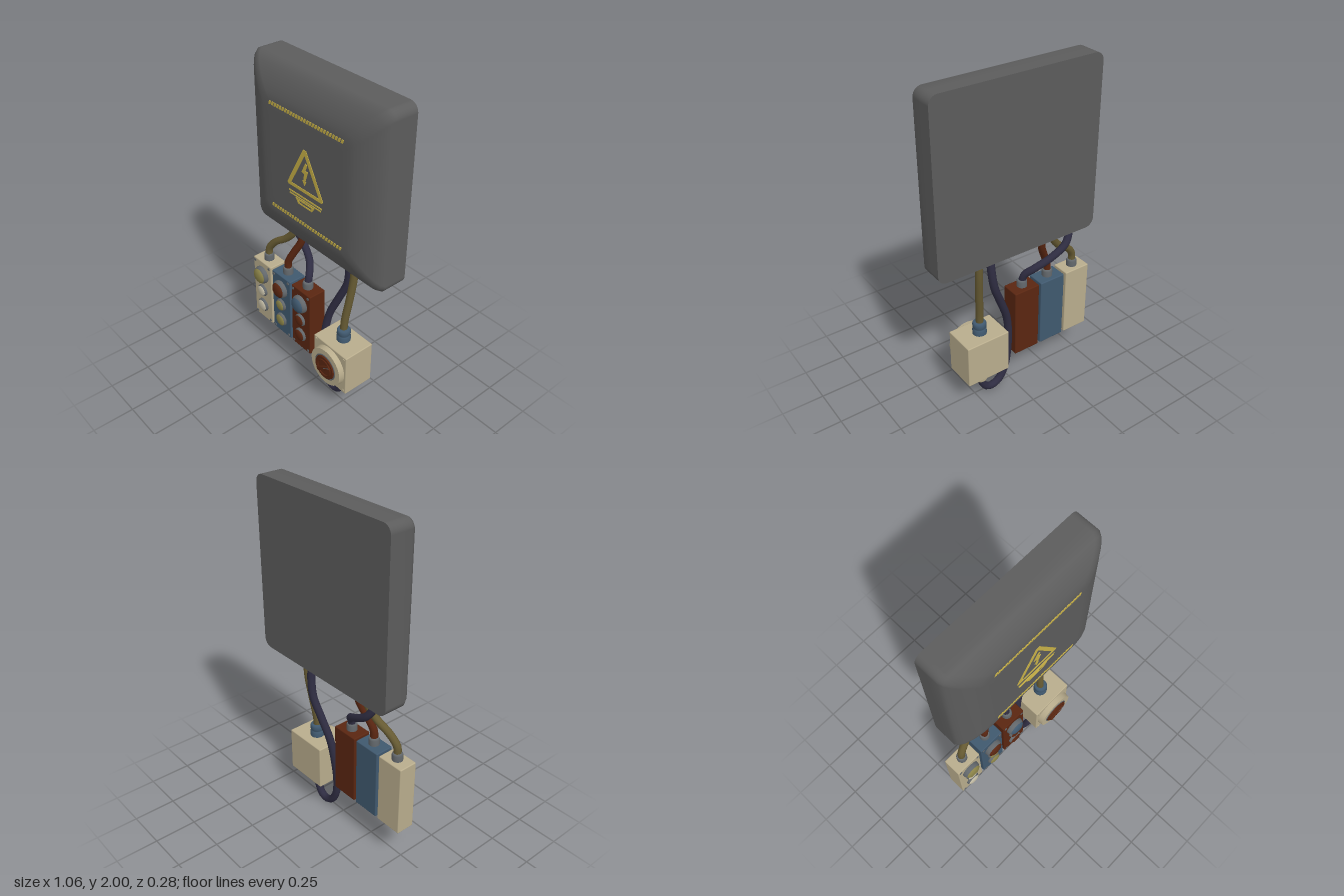
import * as THREE from 'three';
import { RoundedBoxGeometry } from 'three/addons/geometries/RoundedBoxGeometry.js';

const COLORS = {
  charcoal: 0x5c5c5c, cream: 0xb9ad8d, blue: 0x40596f, rust: 0x5a2611, navy: 0x2f2d42,
  oliveCable: 0x675b33, olive: 0x8b8348, yellow: 0xc8b147, steel: 0x62676b, ivory: 0xc6bfa8,
};

export function createModel() {
  const root = new THREE.Group();
  root.name = 'electricalControlUnit';
  const mats = {};
  for (const [name, color] of Object.entries(COLORS)) {
    mats[name] = new THREE.MeshStandardMaterial({ color });
    mats[name].name = name;
  }

  const add = (parent, name, geometry, mat, x = 0, y = 0, z = 0) => {
    const mesh = new THREE.Mesh(geometry, mats[mat]);
    mesh.name = name;
    mesh.position.set(x, y, z);
    parent.add(mesh);
    return mesh;
  };
  const group = (name, x, y, z) => {
    const g = new THREE.Group();
    g.name = name;
    g.position.set(x, y, z);
    root.add(g);
    return g;
  };
  const box = (w, h, d, r = 0.006) => new RoundedBoxGeometry(w, h, d, 2, r);
  const lathe = (pts, seg = 24) =>
    new THREE.LatheGeometry(pts.map(([r, y]) => new THREE.Vector2(r, y)), seg);
  const disc = (rTop, rBottom, h, seg = 32) =>
    new THREE.CylinderGeometry(rTop, rBottom, h, seg).rotateX(Math.PI / 2);
  const plate = (pts, hole) => {
    const shape = new THREE.Shape(pts.map(p => new THREE.Vector2(...p)));
    if (hole) shape.holes.push(new THREE.Path(hole.map(p => new THREE.Vector2(...p))));
    return new THREE.ExtrudeGeometry(shape, { depth: 0.003, bevelEnabled: false });
  };

  // Main cabinet: rounded-square loops shrinking towards a domed front
  function cabinetGeometry() {
    const half = 0.505, radius = 0.05, steps = 6;
    const loops = [[0, -0.14], [0, -0.14], [0, -0.07], [0, -0.005], [0.012, 0.018], [0.035, 0.04],
      [0.07, 0.062], [0.11, 0.08], [0.15, 0.093], [0.185, 0.098], [0.24, 0.099]];
    const pos = [], idx = [], n = 4 * (steps + 1);
    for (const [inset, z] of loops) {
      const c = half - inset - radius;
      for (let q = 0; q < 4; q++) for (let s = 0; s <= steps; s++) {
        const a = (q + s / steps) * Math.PI / 2;
        const sx = q === 0 || q === 3 ? 1 : -1, sy = q < 2 ? 1 : -1;
        pos.push(sx * c + radius * Math.cos(a), sy * c + radius * Math.sin(a), z);
      }
    }
    for (let l = 1; l < loops.length - 1; l++) for (let i = 0; i < n; i++) {
      const a = l * n + i, b = l * n + (i + 1) % n;
      idx.push(a, b, b + n, a, b + n, a + n);
    }
    // Back cap uses its own loop so that its edge stays sharp
    const back = pos.length / 3, last = (loops.length - 1) * n;
    pos.push(0, 0, -0.14, 0, 0, 0.099);
    for (let i = 0; i < n; i++) {
      const j = (i + 1) % n;
      idx.push(back, j, i, back + 1, last + i, last + j);
    }
    const g = new THREE.BufferGeometry();
    g.setAttribute('position', new THREE.Float32BufferAttribute(pos, 3));
    g.setIndex(idx);
    g.computeVertexNormals();
    return g;
  }
  add(root, 'cabinet', cabinetGeometry(), 'charcoal', 0.025, 1.495, 0);

  // Painted warning marks on the cabinet front
  const marks = group('warningMarks', 0.03, 0, 0.0985);
  add(marks, 'warningTriangle', plate(
    [[-0.14, 1.405], [-0.13, 1.395], [0.13, 1.395], [0.14, 1.405], [0.012, 1.64], [-0.012, 1.64]],
    [[-0.11, 1.413], [0.11, 1.413], [0, 1.612]]), 'yellow');
  add(marks, 'bolt', plate([[0.005, 1.57], [-0.025, 1.51], [-0.004, 1.505], [-0.012, 1.465], [-0.018, 1.465],
    [-0.003, 1.435], [0.01, 1.462], [0.004, 1.465], [0.024, 1.525], [0.005, 1.528], [0.018, 1.562]]), 'yellow');
  add(marks, 'upperBar', box(0.26, 0.01, 0.003, 0.001), 'yellow', 0, 1.361, 0.0015);
  add(marks, 'lowerBar', box(0.25, 0.008, 0.003, 0.001), 'yellow', 0, 1.345, 0.0015);
  add(marks, 'tab', plate([[-0.055, 1.308], [0.055, 1.308], [0.075, 1.337], [-0.075, 1.337]],
    [[-0.045, 1.317], [0.045, 1.317], [0.055, 1.328], [-0.055, 1.328]]), 'yellow');
  const dash = plate([[-0.011, -0.01], [0.003, -0.01], [0.011, 0.01], [-0.003, 0.01]]);
  for (const y of [1.2, 1.8])
    for (let i = 0; i < 27; i++) add(marks, 'stripeDash', dash, 'yellow', -0.27 + i * 0.0208, y, 0);

  // Domed push button: steel collar with a coloured cap
  function button(parent, mat, y, r, depth) {
    const g = new THREE.Group();
    g.name = 'pushButton';
    g.position.set(0, y, 0.056);
    g.rotation.x = Math.PI / 2;
    parent.add(g);
    add(g, 'collar', lathe([[r, 0], [r, depth * 0.2], [r * 0.96, depth * 0.42], [r * 0.84, depth * 0.62], [r * 0.7, depth * 0.66]]), 'steel');
    add(g, 'cap', lathe([[r * 0.85, depth * 0.55], [r * 0.83, depth * 0.7], [r * 0.6, depth * 0.9],
      [r * 0.3, depth * 0.98], [0, depth]]), mat);
  }

  // Three hanging button boxes
  const screw = disc(0.009, 0.009, 0.006, 10);
  const pendants = [
    [-0.45, 'cream', ['olive', 'ivory', 'ivory']],
    [-0.267, 'blue', ['rust', 'olive', 'olive']],
    [-0.085, 'rust', ['blue', 'rust', 'rust']],
  ];
  for (const [x, mat, caps] of pendants) {
    const g = group('buttonBox', x, 0, -0.01);
    add(g, 'housing', box(0.168, 0.435, 0.113), mat, 0, 0.443, 0);
    caps.forEach((cap, i) => button(g, cap, [0.567, 0.445, 0.33][i], [0.057, 0.04, 0.044][i], [0.045, 0.026, 0.026][i]));
    for (const sx of [-1, 1]) for (const y of [0.244, 0.642])
      add(g, 'screw', screw, 'steel', sx * 0.066, y, 0.057);
    add(g, 'cableGland', lathe([[0.031, 0.655], [0.031, 0.695], [0.026, 0.706], [0, 0.706]], 16), 'steel');
  }

  // Rotary switch box
  const sw = group('switchBox', 0.217, 0.33, -0.015);
  add(sw, 'housing', box(0.275, 0.272, 0.198), 'cream');
  add(sw, 'dialPlate', disc(0.12, 0.125, 0.036, 40), 'cream', 0, 0, 0.114);
  for (const sx of [-1, 1]) for (const sy of [-1, 1])
    add(sw, 'screw', screw, 'cream', sx * 0.117, sy * 0.117, 0.099);
  add(sw, 'dialRing', new THREE.TorusGeometry(0.081, 0.005, 8, 40), 'steel', 0, 0, 0.131);
  add(sw, 'knobBase', disc(0.074, 0.079, 0.012, 24), 'rust', 0, 0, 0.136);
  add(sw, 'knobRim', new THREE.TorusGeometry(0.053, 0.005, 8, 32), 'rust', 0, 0, 0.142);
  const handle = add(sw, 'knobHandle', box(0.125, 0.026, 0.014, 0.004), 'rust', 0, 0, 0.145);
  handle.rotation.z = 0.6;
  add(sw, 'knobPointer', box(0.05, 0.005, 0.003, 0.001), 'steel', 0.028, 0.019, 0.152).rotation.z = 0.6;

  // Ribbed glands above and below the switch box
  const gland = [[0.041, 0], [0.041, 0.03], [0.034, 0.034], [0.034, 0.044], [0.04, 0.048],
    [0.04, 0.07], [0.034, 0.08], [0, 0.08]];
  add(sw, 'topGland', lathe(gland, 20), 'blue', 0, 0.135, -0.005);
  const lower = add(sw, 'bottomGland', lathe(gland, 20), 'cream', 0, -0.135, -0.005);
  lower.rotation.x = Math.PI;

  // Cables
  const cable = (name, mat, r, pts) => {
    const curve = new THREE.CatmullRomCurve3(pts.map(p => new THREE.Vector3(...p)), false, 'centripetal');
    add(root, name, new THREE.TubeGeometry(curve, 48, r, 10), mat);
  };
  cable('creamBoxCable', 'oliveCable', 0.022, [[-0.45, 0.69, -0.01], [-0.445, 0.745, -0.012], [-0.4, 0.805, -0.025],
    [-0.32, 0.865, -0.045], [-0.265, 0.935, -0.06], [-0.25, 1.03, -0.07]]);
  cable('blueBoxCable', 'rust', 0.022, [[-0.267, 0.69, -0.01], [-0.263, 0.745, -0.01], [-0.23, 0.82, -0.025],
    [-0.19, 0.91, -0.05], [-0.18, 1.03, -0.07]]);
  cable('rustBoxCable', 'navy', 0.022, [[-0.085, 0.69, -0.01], [-0.092, 0.74, -0.025], [-0.135, 0.79, -0.065],
    [-0.23, 0.85, -0.1], [-0.31, 0.905, -0.108], [-0.345, 0.96, -0.095], [-0.352, 1.03, -0.08]]);
  cable('switchFeedCable', 'oliveCable', 0.022, [[0.215, 0.53, -0.02], [0.217, 0.6, -0.025], [0.23, 0.75, -0.045],
    [0.238, 0.88, -0.062], [0.24, 1.03, -0.07]]);
  cable('switchLoopCable', 'navy', 0.023, [[0.217, 0.125, -0.02], [0.205, 0.075, -0.02], [0.175, 0.035, -0.02],
    [0.135, 0.025, -0.02], [0.085, 0.052, -0.02], [0.047, 0.12, -0.02], [0.03, 0.22, -0.025], [0.032, 0.38, -0.04],
    [0.055, 0.53, -0.055], [0.11, 0.67, -0.075], [0.158, 0.79, -0.09], [0.175, 0.9, -0.088], [0.177, 1.03, -0.075]]);

  return root;
}
